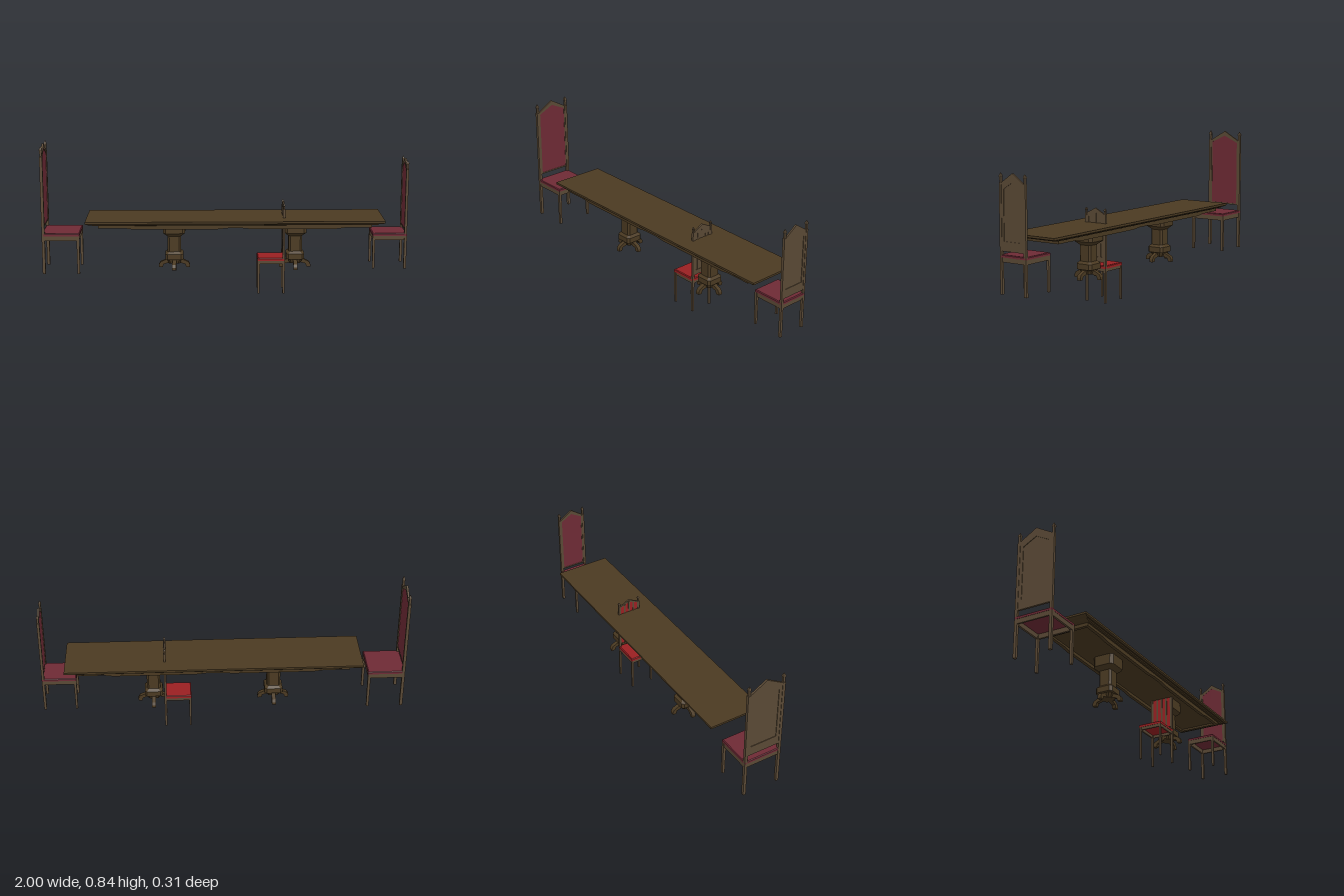
import * as THREE from 'three';

const mat = (color) => new THREE.MeshStandardMaterial({ color, flatShading: true });
const wood = mat(0x4b3a22), chairWood = mat(0x5a4935), wine = mat(0x6e2a35), red = mat(0x9a2022);

function add(parent, name, geometry, material, x = 0, y = 0, z = 0) {
  const mesh = new THREE.Mesh(geometry, material);
  mesh.name = name;
  mesh.position.set(x, y, z);
  parent.add(mesh);
  return mesh;
}

// Box given by its min / max corners
function block(parent, name, material, x0, x1, y0, y1, z0, z1) {
  return add(parent, name, new THREE.BoxGeometry(x1 - x0, y1 - y0, z1 - z0), material,
    (x0 + x1) / 2, (y0 + y1) / 2, (z0 + z1) / 2);
}

// Stack of rectangles, bottom to top: [y, halfX, halfZ, cornerCut]
function loft(levels) {
  const rings = levels.map(([y, a, b, c = 0]) => (c
    ? [[-a + c, b], [a - c, b], [a, b - c], [a, -b + c], [a - c, -b], [-a + c, -b], [-a, -b + c], [-a, b - c]]
    : [[-a, b], [a, b], [a, -b], [-a, -b]]).map(([x, z]) => [x, y, z]));
  const pos = [], n = rings[0].length, tri = (...p) => p.forEach((v) => pos.push(...v));
  for (let k = 0; k + 1 < rings.length; k++) {
    for (let i = 0; i < n; i++) {
      const j = (i + 1) % n, lo = rings[k], up = rings[k + 1];
      tri(lo[i], lo[j], up[j]);
      tri(lo[i], up[j], up[i]);
    }
  }
  const first = rings[0], last = rings[rings.length - 1];
  for (let i = 1; i + 1 < n; i++) {
    tri(last[0], last[i], last[i + 1]);
    tri(first[0], first[i + 1], first[i]);
  }
  const g = new THREE.BufferGeometry();
  g.setAttribute('position', new THREE.Float32BufferAttribute(pos, 3));
  g.computeVertexNormals();
  return g;
}

// Pointed-top outline and its extrusion along +x
const gable = (w, bottom, shoulder, peak) =>
  [[-w, bottom], [w, bottom], [w, shoulder], [0, peak], [-w, shoulder]].map((p) => new THREE.Vector2(...p));

function gableBoard(outline, depth, hole) {
  const shape = new THREE.Shape(outline);
  if (hole) shape.holes.push(new THREE.Path(hole));
  return new THREE.ExtrudeGeometry(shape, { depth, bevelEnabled: false }).rotateY(Math.PI / 2);
}

// Chair facing +x with the rear of its back at x = 0
function chair(name, o) {
  const g = new THREE.Group();
  g.name = name;
  const { w, depth, foot, seat, cushion, apron, shoulder, peak, bottom, post } = o;
  const apronTop = seat - cushion, apronBottom = apronTop - apron;
  add(g, 'seatCushion', loft([[apronTop, depth / 2, w], [seat - 0.004, depth / 2, w],
    [seat, depth / 2 - 0.004, w - 0.004]]), o.fabric, depth / 2);
  // apron boards
  const t = post * 0.7;
  block(g, 'frontApron', chairWood, depth - t - 0.002, depth - 0.002, apronBottom, apronTop, -w + 0.002, w - 0.002);
  block(g, 'backApron', chairWood, 0.002, t, apronBottom, apronTop, -w + 0.002, w - 0.002);
  for (const s of [-1, 1]) {
    const zc = s * (w - post / 2);
    add(g, 'sideApron', new THREE.BoxGeometry(depth - 0.004, apron, t), chairWood,
      depth / 2, apronBottom + apron / 2, s * (w - t / 2 - 0.002));
    add(g, 'frontLeg', loft([[foot, post * 0.42, post * 0.42], [apronTop, post / 2, post / 2]]),
      chairWood, depth - post / 2, 0, zc);
    // rear leg runs up into the post and its finial
    const h = post / 2, k = peak - shoulder;
    add(g, 'backPost', loft([[foot, h, h], [shoulder, h, h], [shoulder + 0.02 * k, h * 0.75, h * 0.75],
      [shoulder + 0.55 * k, h * 0.75, h * 0.75], [shoulder + 0.62 * k, h, h],
      [shoulder + 0.7 * k, h, h], [peak, 0.0008, 0.0008]]), chairWood, h, 0, zc);
  }
  // back: recessed panel behind, upholstery in front
  const inner = w - post + 0.001, x0 = post * 0.15, thick = post * 0.7;
  add(g, 'backFrame', gableBoard(gable(inner, bottom, shoulder, peak), thick * 0.45,
    gable(inner * 0.8, bottom + 0.055 * o.k, shoulder - 0.035 * o.k, peak - 0.05 * o.k)), chairWood, x0);
  add(g, 'backPanel', gableBoard(gable(inner, bottom, shoulder, peak), thick * 0.4), chairWood, x0 + thick * 0.3);
  const trim = 0.008 * o.k;
  const pad = gable(inner - trim, bottom + trim, shoulder - 0.012 * o.k, peak - 0.027 * o.k);
  add(g, 'backTrim', gableBoard(gable(inner, bottom, shoulder, peak), thick * 0.4, pad), chairWood, x0 + thick * 0.6);
  add(g, 'backUpholstery', gableBoard(pad, thick * 0.25), o.fabric, x0 + thick * 0.6);
  if (o.slats) {
    for (let i = 0; i < o.slats; i++) {
      const z = ((i + 1) / (o.slats + 1) * 2 - 1) * inner;
      const top = peak - 0.02 * o.k - (peak - shoulder) * Math.abs(z) / inner;
      block(g, 'backSlat', chairWood, x0, x0 + thick * 1.1, bottom, top, z - 0.005, z + 0.005);
    }
  }
  return g;
}

function pedestal(x) {
  const g = new THREE.Group();
  g.name = 'pedestal';
  g.position.x = x;
  const sq = (y, a, c) => [y, a, a, c];
  add(g, 'column', loft([sq(0.165, 0.03, 0.01), sq(0.188, 0.04, 0.012), sq(0.192, 0.05, 0.012),
    sq(0.222, 0.05, 0.012), sq(0.235, 0.037, 0.01), sq(0.322, 0.037, 0.01),
    sq(0.343, 0.061, 0.015), sq(0.405, 0.061, 0.015)]), wood);
  // four arched feet
  const side = new THREE.Shape([[0, 0.165], [0.035, 0.165], [0.06, 0.158], [0.066, 0.14], [0.087, 0.14],
    [0.087, 0.155], [0.078, 0.17], [0.05, 0.183], [0.03, 0.192], [0, 0.192]].map((p) => new THREE.Vector2(...p)));
  for (let i = 0; i < 4; i++) {
    const foot = new THREE.ExtrudeGeometry(side, { depth: 0.022, bevelEnabled: false }).translate(0, 0, -0.011);
    add(g, 'foot', foot, wood).rotation.y = i * Math.PI / 2;
  }
  return g;
}

function table() {
  const g = new THREE.Group();
  g.name = 'table';
  g.position.x = 0.055;
  add(g, 'tableTop', loft([[0.4, 0.74, 0.122], [0.407, 0.745, 0.128], [0.407, 0.775, 0.138], [0.413, 0.785, 0.142],
    [0.413, 0.8, 0.148], [0.419, 0.815, 0.155], [0.43, 0.815, 0.155]]), wood);
  // long aprons dip over each pedestal
  const apron = new THREE.Shape([[-0.745, 0.41], [-0.745, 0.389], [-0.6, 0.389], [-0.55, 0.382], [-0.1, 0.382],
    [-0.04, 0.388], [0.04, 0.388], [0.1, 0.382], [0.55, 0.382], [0.6, 0.389], [0.745, 0.389],
    [0.745, 0.41]].map((p) => new THREE.Vector2(...p)));
  for (const s of [-1, 1]) {
    add(g, 'sideApron', new THREE.ExtrudeGeometry(apron, { depth: 0.018, bevelEnabled: false }),
      wood, 0, 0, s * 0.116 - 0.009);
    add(g, 'endApron', new THREE.BoxGeometry(0.018, 0.02, 0.23), wood, s * 0.736, 0.399, 0);
    g.add(pedestal(s * 0.335));
  }
  return g;
}

export function createModel() {
  const model = new THREE.Group();
  model.name = 'diningSet';
  model.add(table());

  const tall = chair('tallChair', { w: 0.11, depth: 0.205, foot: 0.13, seat: 0.357, cushion: 0.015, apron: 0.026,
    shoulder: 0.782, peak: 0.838, bottom: 0.39, post: 0.016, k: 1, fabric: wine });
  tall.position.x = -1;
  model.add(tall);

  const medium = chair('mediumChair', { w: 0.084, depth: 0.188, foot: 0.145, seat: 0.346, cushion: 0.014, apron: 0.024,
    shoulder: 0.703, peak: 0.752, bottom: 0.363, post: 0.014, k: 0.9, fabric: wine });
  medium.position.x = 1;
  medium.rotation.y = Math.PI;
  model.add(medium);

  const small = chair('smallChair', { w: 0.068, depth: 0.15, foot: 0, seat: 0.203, cushion: 0.016, apron: 0.016,
    shoulder: 0.48, peak: 0.51, bottom: 0.22, post: 0.012, k: 0.5, fabric: red, slats: 3 });
  small.position.x = 0.331;
  small.rotation.y = Math.PI;
  model.add(small);
  return model;
}
